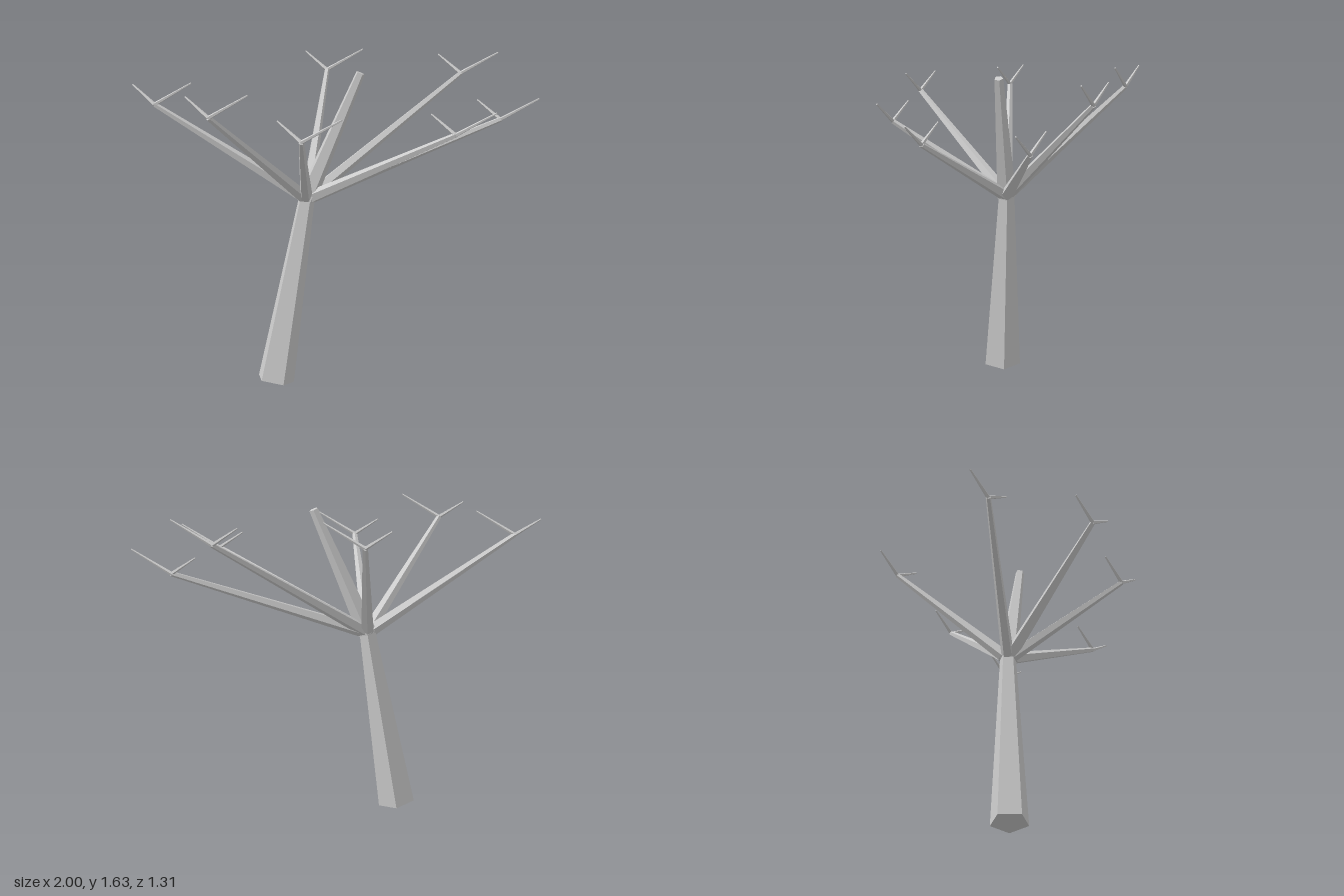
import * as THREE from 'three';

const material = new THREE.MeshStandardMaterial({ color: 0xcccccc, flatShading: true });
const UP = new THREE.Vector3(0, 1, 0);

// Tapered five-sided limb from one point to another, one corner towards +x
function limb(name, from, to, r0, r1) {
  const dir = to.clone().sub(from);
  const geometry = new THREE.CylinderGeometry(r1, r0, dir.length(), 5, 1, false, Math.PI / 2);
  const mesh = new THREE.Mesh(geometry, material);
  mesh.name = name;
  mesh.position.copy(from).add(to).multiplyScalar(0.5);
  mesh.quaternion.setFromUnitVectors(UP, dir.normalize());
  return mesh;
}

export function createModel() {
  const tree = new THREE.Group();
  tree.name = 'bareTree';
  const v = (x, y, z) => new THREE.Vector3(x, y, z);
  const fork = v(-0.165, 0.945, 0);

  // Leaning trunk and the thick central leader
  tree.add(limb('trunk', v(-0.328, 0.02, 0.005), fork, 0.096, 0.042));
  tree.add(limb('leader', fork, v(0.095, 1.575, 0.065), 0.05, 0.023));

  // Ring of branches, each ending in a pair of twigs
  const tips = [
    v(-0.9, 1.42, -0.1), v(-0.68, 1.42, 0.4), v(-0.27, 1.32, 0.565), v(0.48, 1.32, 0.465),
    v(0.82, 1.32, 0), v(0.685, 1.52, -0.305), v(0.03, 1.52, -0.57),
  ];
  const twigs = [v(0.175, 0.112, 0.085), v(-0.1, 0.09, -0.085)];
  tips.forEach((tip, i) => {
    const branch = new THREE.Group();
    branch.name = `branch${i + 1}`;
    branch.add(limb('bough', fork, tip, 0.033, 0.013));
    for (const offset of twigs) {
      branch.add(limb('twig', tip, tip.clone().add(offset), 0.01, 0.004));
    }
    tree.add(branch);
  });
  return tree;
}
